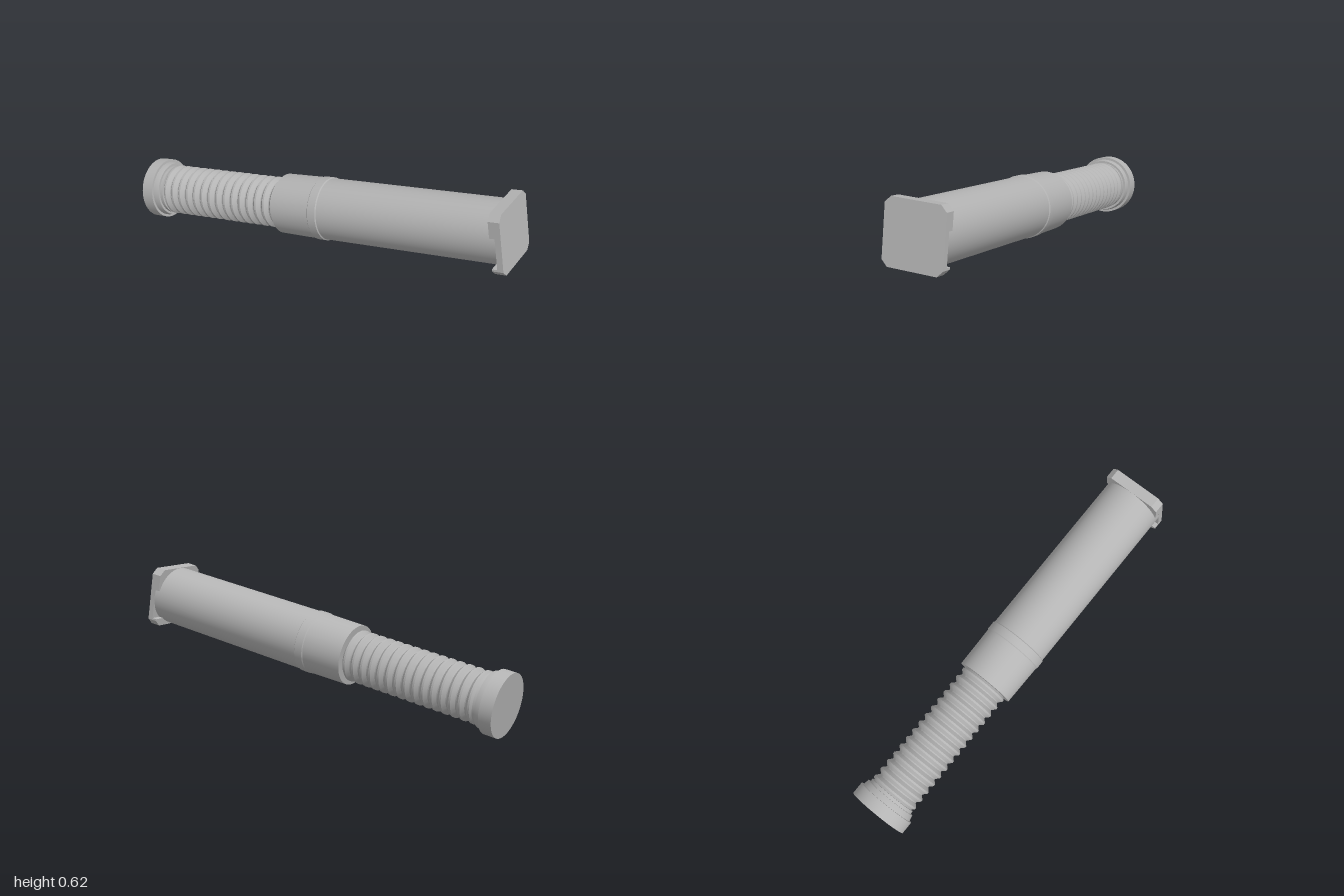
import * as THREE from 'three';
import { toCreasedNormals } from 'three/addons/utils/BufferGeometryUtils.js';

const LENGTH = 1.978;
const HALF = 0.148; // half width of the square end plate

export function createModel() {
  const grey = new THREE.MeshStandardMaterial({ color: 0xb4b4b4 });
  grey.name = 'grey';

  const model = new THREE.Group();
  model.name = 'telescopicStrut';

  // Everything is built along local +x, then tilted
  const axis = new THREE.Group();
  axis.name = 'strutAxis';
  axis.position.set(-0.975, 0.148, 0);
  axis.rotation.z = Math.atan2(0.3286, 1.95);
  model.add(axis);

  const add = (name, geometry) => {
    const mesh = new THREE.Mesh(geometry, grey);
    mesh.name = name;
    axis.add(mesh);
  };

  // Turned part from [radius, distance along the axis] pairs
  const turned = (name, profile) => {
    const g = new THREE.LatheGeometry(profile.map(([r, s]) => new THREE.Vector2(r, s)), 64);
    g.rotateZ(-Math.PI / 2);
    add(name, toCreasedNormals(g, 0.4));
  };

  // Octagonal slab: square cross-section with cut corners, limited to y0..y1
  const slab = (name, s0, s1, y0, y1, cutBottom, cutTop) => {
    const shape = new THREE.Shape([
      [-HALF + cutBottom, y0], [HALF - cutBottom, y0], [HALF, y0 + cutBottom],
      [HALF, y1 - cutTop], [HALF - cutTop, y1], [-HALF + cutTop, y1],
      [-HALF, y1 - cutTop], [-HALF, y0 + cutBottom],
    ].map(([x, y]) => new THREE.Vector2(x, y)));
    const g = new THREE.ExtrudeGeometry(shape, { depth: s1 - s0, bevelEnabled: false });
    g.rotateY(Math.PI / 2);
    g.translate(s0, 0, 0);
    add(name, g);
  };

  // Round foot with stepped collar
  turned('endDisc', [
    [0, 0], [0.15, 0], [0.15, 0.062], [0.138, 0.062], [0.138, 0.068],
    [0.133, 0.092], [0.122, 0.092], [0.122, 0.108], [0, 0.108],
  ]);

  // Ribbed bellows
  const ribs = 15, start = 0.1, pitch = (0.8 - start) / ribs;
  const bellows = [];
  for (let i = 0; i < ribs; i++) {
    const s = start + i * pitch;
    bellows.push([0.108, s], [0.108, s + pitch * 0.12],
      [0.124, s + pitch * 0.45], [0.124, s + pitch * 0.65]);
  }
  bellows.push([0.108, 0.8]);
  turned('bellows', bellows);

  // Sleeve with a slightly raised band at the joint
  turned('sleeve', [
    [0, 0.795], [0.145, 0.795], [0.148, 1.0], [0.1515, 1.004],
    [0.1515, 1.045], [0.147, 1.049],
  ]);
  turned('mainTube', [[0.147, 1.045], [0.147, LENGTH - 0.01], [0, LENGTH - 0.01]]);

  // Square end plate and the deeper lugs behind its corners
  slab('endPlate', LENGTH - 0.028, LENGTH, -HALF, HALF, 0.028, 0.028);
  slab('upperLugs', LENGTH - 0.053, LENGTH - 0.028, 0.04, HALF, 0, 0.028);
  slab('lowerLugs', LENGTH - 0.053, LENGTH - 0.028, -HALF, -0.11, 0.028, 0);

  return model;
}
